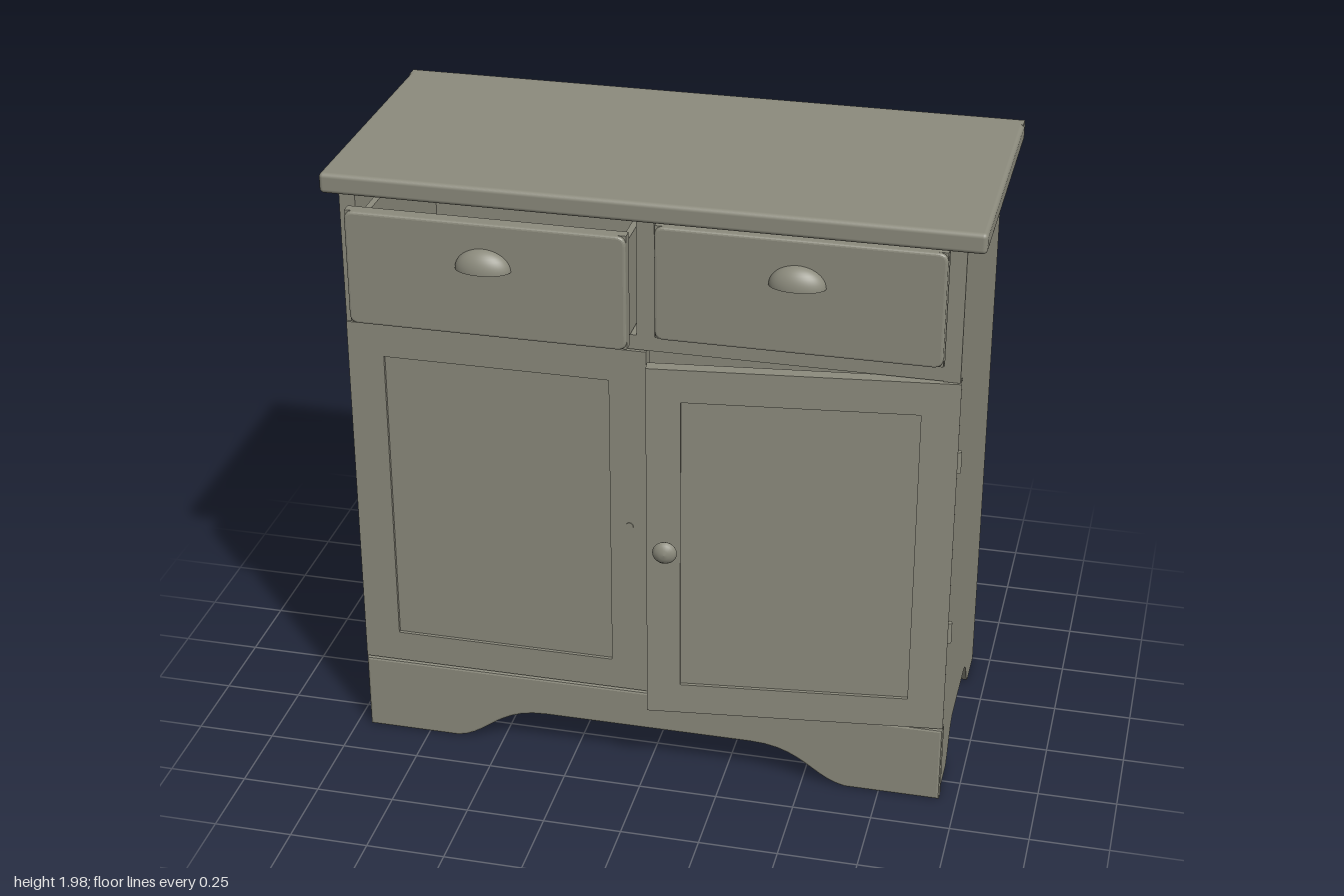
import * as THREE from 'three';
import { RoundedBoxGeometry } from 'three/addons/geometries/RoundedBoxGeometry.js';

const paint = new THREE.MeshStandardMaterial({ color: 0x8c8b7d, side: THREE.DoubleSide });
paint.name = 'sage grey paint';

function add(parent, name, geometry, x = 0, y = 0, z = 0) {
  const mesh = new THREE.Mesh(geometry, paint);
  mesh.name = name;
  mesh.position.set(x, y, z);
  parent.add(mesh);
  return mesh;
}

// Box given by its limits on each axis, optionally with rounded edges
function box(parent, name, x0, x1, y0, y1, z0, z1, radius = 0) {
  const w = x1 - x0, h = y1 - y0, d = z1 - z0;
  const geometry = radius ? new RoundedBoxGeometry(w, h, d, 3, radius) : new THREE.BoxGeometry(w, h, d);
  return add(parent, name, geometry, (x0 + x1) / 2, (y0 + y1) / 2, (z0 + z1) / 2);
}

function rectPath(path, x0, x1, y0, y1) {
  path.moveTo(x0, y0);
  path.lineTo(x1, y0);
  path.lineTo(x1, y1);
  path.lineTo(x0, y1);
  path.closePath();
  return path;
}

function roundedRect(x0, x1, y0, y1, r) {
  const s = new THREE.Shape();
  s.moveTo(x0 + r, y0);
  s.lineTo(x1 - r, y0);
  s.quadraticCurveTo(x1, y0, x1, y0 + r);
  s.lineTo(x1, y1 - r);
  s.quadraticCurveTo(x1, y1, x1 - r, y1);
  s.lineTo(x0 + r, y1);
  s.quadraticCurveTo(x0, y1, x0, y1 - r);
  s.lineTo(x0, y0 + r);
  s.quadraticCurveTo(x0, y0, x0 + r, y0);
  return s;
}

// Scalloped foot line along y = 0, from the left foot to the right foot
function footLine(s, a, b, c, d, top) {
  s.lineTo(a, 0);
  s.bezierCurveTo(a + (b - a) * 0.35, top * 0.15, a + (b - a) * 0.45, top, b, top);
  s.lineTo(c, top);
  s.bezierCurveTo(d - (d - c) * 0.45, top, d - (d - c) * 0.35, top * 0.15, d, 0);
}

// Side panel, set back where the door sits; shape x runs towards the back
function sidePanel(parent, name, x) {
  const s = new THREE.Shape();
  s.moveTo(-0.34, 0);
  footLine(s, -0.17, -0.03, 0.22, 0.36, 0.125);
  s.lineTo(0.5, 0);
  s.lineTo(0.5, 1.92);
  s.lineTo(-0.345, 1.92);
  s.lineTo(-0.345, 1.48);
  s.lineTo(-0.305, 1.48);
  s.lineTo(-0.305, 0.262);
  s.lineTo(-0.34, 0.262);
  s.closePath();
  const geometry = new THREE.ExtrudeGeometry(s, { depth: 0.05, bevelEnabled: false, curveSegments: 10 });
  add(parent, name, geometry.rotateY(Math.PI / 2), x);
}

// Front plinth with a softened edge
function plinth(parent) {
  const s = new THREE.Shape();
  s.moveTo(-0.955, 0);
  footLine(s, -0.65, -0.35, 0.33, 0.64, 0.125);
  s.lineTo(0.945, 0);
  s.lineTo(0.945, 0.262);
  s.lineTo(-0.955, 0.262);
  s.closePath();
  const b = 0.008;
  const geometry = new THREE.ExtrudeGeometry(s, {
    depth: 0.029, bevelThickness: b, bevelSize: b, bevelOffset: -b, bevelSegments: 2, curveSegments: 10,
  });
  add(parent, 'frontPlinth', geometry, 0, 0, 0.318);
}

// Drawer: z is the front face; the box runs backwards from it
function drawer(parent, name, x0, x1, z) {
  const g = new THREE.Group();
  g.name = name;
  const y0 = 1.533, y1 = 1.898, back = -0.78;
  box(g, 'drawerFrontBoard', x0, x1, y0, y1, -0.045, -0.012);
  const face = roundedRect(x0, x1, y0, y1, 0.03);
  const b = 0.008;
  add(g, 'drawerFace', new THREE.ExtrudeGeometry(face, {
    depth: 0.004, bevelThickness: b, bevelSize: b, bevelOffset: -b, bevelSegments: 3, curveSegments: 6,
  }), 0, 0, -0.012);
  const a = x0 + 0.015, c = x1 - 0.015;
  for (const x of [a, c - 0.02]) box(g, 'drawerSide', x, x + 0.02, 1.535, 1.85, back, -0.045);
  box(g, 'drawerBack', a, c, 1.535, 1.85, back, back + 0.02);
  box(g, 'drawerBottom', a, c, 1.54, 1.555, back, -0.045);
  // Cup pull
  const cup = new THREE.SphereGeometry(1, 24, 10, 0, Math.PI, 0, Math.PI / 2);
  add(g, 'cupPull', cup, (x0 + x1) / 2 - 0.003, 1.753, -0.001).scale.set(0.086, 0.066, 0.05);
  g.position.z = z;
  parent.add(g);
}

// Door drawn from its hinge at x = 0; dir is the side it extends to
function door(parent, name, hingeX, dir, width, angle) {
  const g = new THREE.Group();
  g.name = name;
  const span = (a, b) => (dir > 0 ? [a, b] : [-b, -a]);
  const frame = rectPath(new THREE.Shape(), ...span(0, width), 0.266, 1.478);
  frame.holes.push(rectPath(new THREE.Path(), ...span(0.115, 0.83), 0.37, 1.37));
  add(g, 'doorFrame', new THREE.ExtrudeGeometry(frame, { depth: 0.042, bevelEnabled: false }));
  box(g, 'doorPanel', ...span(0.11, 0.835), 0.365, 1.375, 0.01, 0.031);
  g.position.set(hingeX, 0, 0.307);
  g.rotation.y = angle;
  parent.add(g);
  return g;
}

export function createModel() {
  const cabinet = new THREE.Group();
  cabinet.name = 'sideboard';

  // Carcass
  box(cabinet, 'topBoard', -1, 1, 1.915, 1.98, -0.52, 0.392, 0.014);
  box(cabinet, 'topBoardBackEdge', -0.998, 0.998, 1.917, 1.979, -0.52, -0.48);
  sidePanel(cabinet, 'rightSide', -0.955);
  sidePanel(cabinet, 'leftSide', 0.89);
  box(cabinet, 'backPanel', -0.954, 0.939, 0, 1.92, -0.5, -0.47);
  box(cabinet, 'floor', -0.91, 0.895, 0.17, 0.255, -0.475, 0.32);
  box(cabinet, 'drawerShelf', -0.91, 0.895, 1.482, 1.53, -0.475, 0.345);
  box(cabinet, 'topRail', -0.91, 0.895, 1.9, 1.918, 0.3, 0.345);
  box(cabinet, 'drawerDivider', -0.037, 0.018, 1.53, 1.916, -0.475, 0.345);
  plinth(cabinet);

  // Drawers, the right one pulled out
  drawer(cabinet, 'rightDrawer', -0.9, -0.04, 0.465);
  drawer(cabinet, 'leftDrawer', 0.022, 0.888, 0.37);

  // Doors, the left one ajar
  const closed = door(cabinet, 'rightDoor', -0.955, 1, 0.947, 0);
  const ajar = door(cabinet, 'leftDoor', 0.94, -1, 0.935, 0.115);
  add(closed, 'knobHole', new THREE.CylinderGeometry(0.012, 0.012, 0.006, 16).rotateX(Math.PI / 2), 0.892, 0.87, 0.042);
  const profile = [[0.018, 0], [0.016, 0.005], [0.009, 0.01], [0.009, 0.022], [0.036, 0.027], [0.038, 0.032],
    [0.03, 0.042], [0.015, 0.049], [0, 0.051]].map(([r, h]) => new THREE.Vector2(r, h));
  add(ajar, 'doorKnob', new THREE.LatheGeometry(profile, 24).rotateX(Math.PI / 2), -0.875, 0.867, 0.042);

  // Hinges
  for (const x of [-0.957, 0.942]) {
    for (const y of [0.6, 1.2]) {
      add(cabinet, 'hinge', new THREE.CylinderGeometry(0.01, 0.01, 0.072, 12), x, y, 0.31);
    }
  }
  return cabinet;
}
